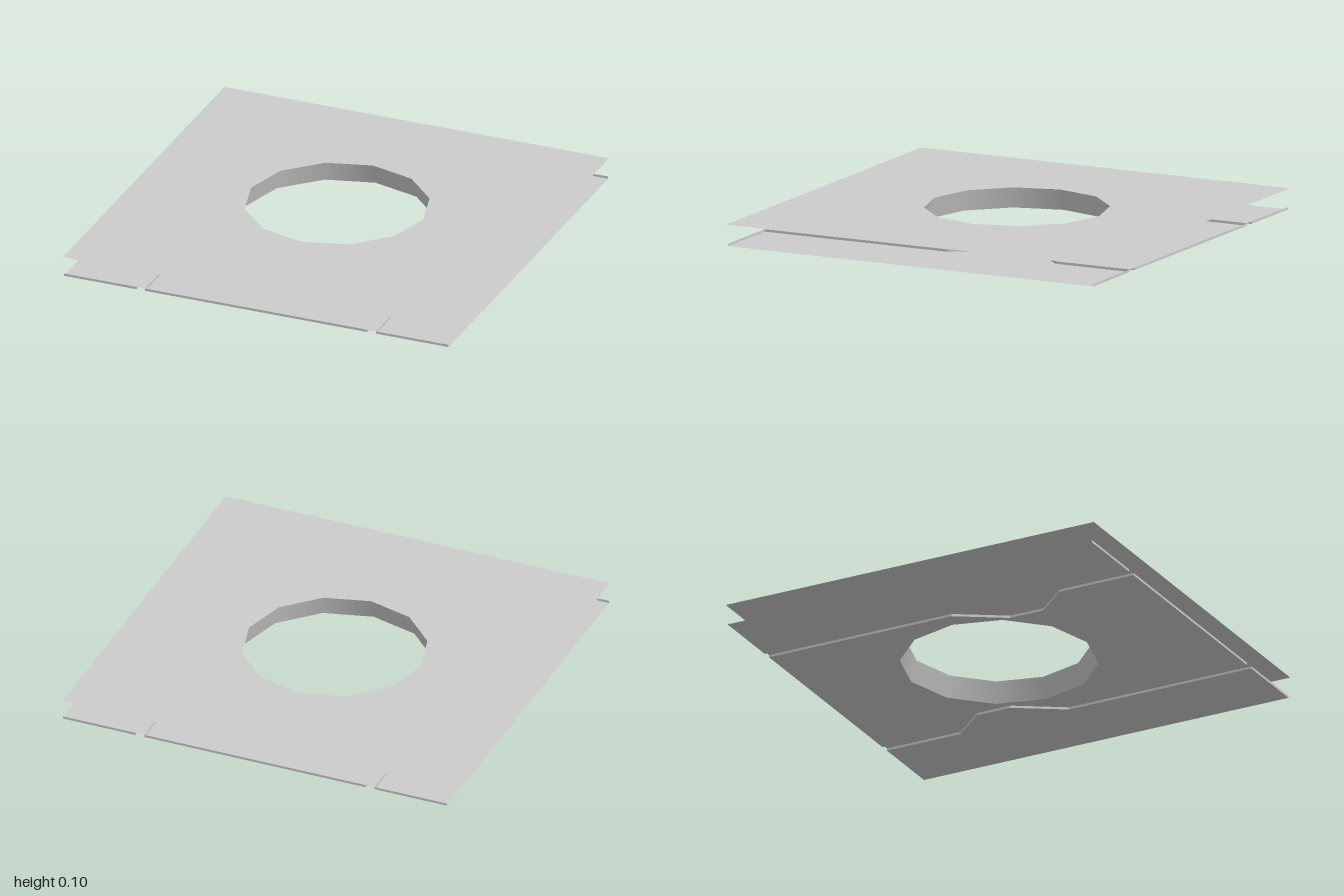
import * as THREE from 'three';

const TOP = 0.105, RISE = 0.012, EDGE = 0.99, HALF = 0.0225;
const CX = -0.012, CZ = -0.042, R_TOP = 0.447, R_BASE = 0.477, SIDES = 12;

const material = new THREE.MeshStandardMaterial({ color: 0xcccccc, side: THREE.DoubleSide });

// Centre line of a channel as [x, z]; the other one is the same turned half round.
const rightLine = [[0.6, EDGE], [0.6, 0], [0.45, -0.24], [0.45, -0.42], [0.6, -0.59], [0.6, -EDGE]];
const leftLine = rightLine.map(([x, z]) => [-x, -z]).reverse();
const shift = (line, dx) => line.map(([x, z]) => [x + dx, z]);
const toShape = (points) => new THREE.Shape(points.map(([x, z]) => new THREE.Vector2(x, -z)));

function add(group, name, geometry) {
  const mesh = new THREE.Mesh(geometry, material);
  mesh.name = name;
  group.add(mesh);
  return mesh;
}

// Round opening with the given radius
function opening(radius) {
  const path = new THREE.Path();
  const points = [];
  for (let i = 0; i < SIDES; i++) {
    const a = (i / SIDES) * Math.PI * 2;
    points.push(new THREE.Vector2(CX + radius * Math.cos(a), -CZ + radius * Math.sin(a)));
  }
  return path.setFromPoints(points);
}

// Flat horizontal sheet at height y
function sheet(group, name, points, y, holeRadius) {
  const shape = toShape(points);
  if (holeRadius) shape.holes.push(opening(holeRadius));
  const geometry = new THREE.ShapeGeometry(shape);
  geometry.rotateX(-Math.PI / 2).translate(0, y, 0);
  return add(group, name, geometry);
}

// Upright strip along a line on the floor
function wall(group, name, line) {
  const positions = [];
  for (let i = 0; i < line.length - 1; i++) {
    const [[x0, z0], [x1, z1]] = [line[i], line[i + 1]];
    positions.push(x0, 0, z0, x1, 0, z1, x1, RISE, z1, x0, 0, z0, x1, RISE, z1, x0, RISE, z0);
  }
  const geometry = new THREE.BufferGeometry();
  geometry.setAttribute('position', new THREE.Float32BufferAttribute(positions, 3));
  geometry.computeVertexNormals();
  return add(group, name, geometry);
}

export function createModel() {
  const model = new THREE.Group();
  model.name = 'panelWithOpening';

  // Upper sheet
  sheet(model, 'upperSheet', [[-1, 1], [1, 1], [1, -1], [-1, -1]], TOP, R_TOP);

  // Tapered collar joining the two sheets
  const collar = new THREE.CylinderGeometry(R_TOP, R_BASE, TOP, SIDES, 1, true);
  add(model, 'openingCollar', collar).position.set(CX, TOP / 2, CZ);

  // Lower sheet in three panels, parted by the channels
  const middle = [...shift(leftLine, HALF), ...shift(rightLine, -HALF).reverse()];
  sheet(model, 'lowerMiddlePanel', middle, 0, R_BASE);
  sheet(model, 'lowerLeftPanel', [...shift(rightLine, HALF), [1, -EDGE], [1, EDGE]], 0);
  sheet(model, 'lowerRightPanel', [...shift(leftLine, -HALF), [-1, -EDGE], [-1, EDGE]], 0);

  // Raised channels, open underneath
  for (const [side, line] of [['left', rightLine], ['right', leftLine]]) {
    const channel = new THREE.Group();
    channel.name = side + 'Channel';
    const a = shift(line, -HALF), b = shift(line, HALF);
    sheet(channel, 'channelRoof', [...a, ...[...b].reverse()], RISE);
    wall(channel, 'channelInnerWall', a);
    wall(channel, 'channelOuterWall', b);
    model.add(channel);
  }

  // Low lips along the front and back, broken at the channel mouths
  for (const z of [EDGE, -EDGE]) {
    const name = z > 0 ? 'frontLip' : 'backLip';
    for (const [x0, x1] of [[-1, -0.6 - HALF], [-0.6 + HALF, 0.6 - HALF], [0.6 + HALF, 1]]) {
      wall(model, name, z > 0 ? [[x0, z], [x1, z]] : [[x1, z], [x0, z]]);
    }
  }
  return model;
}
